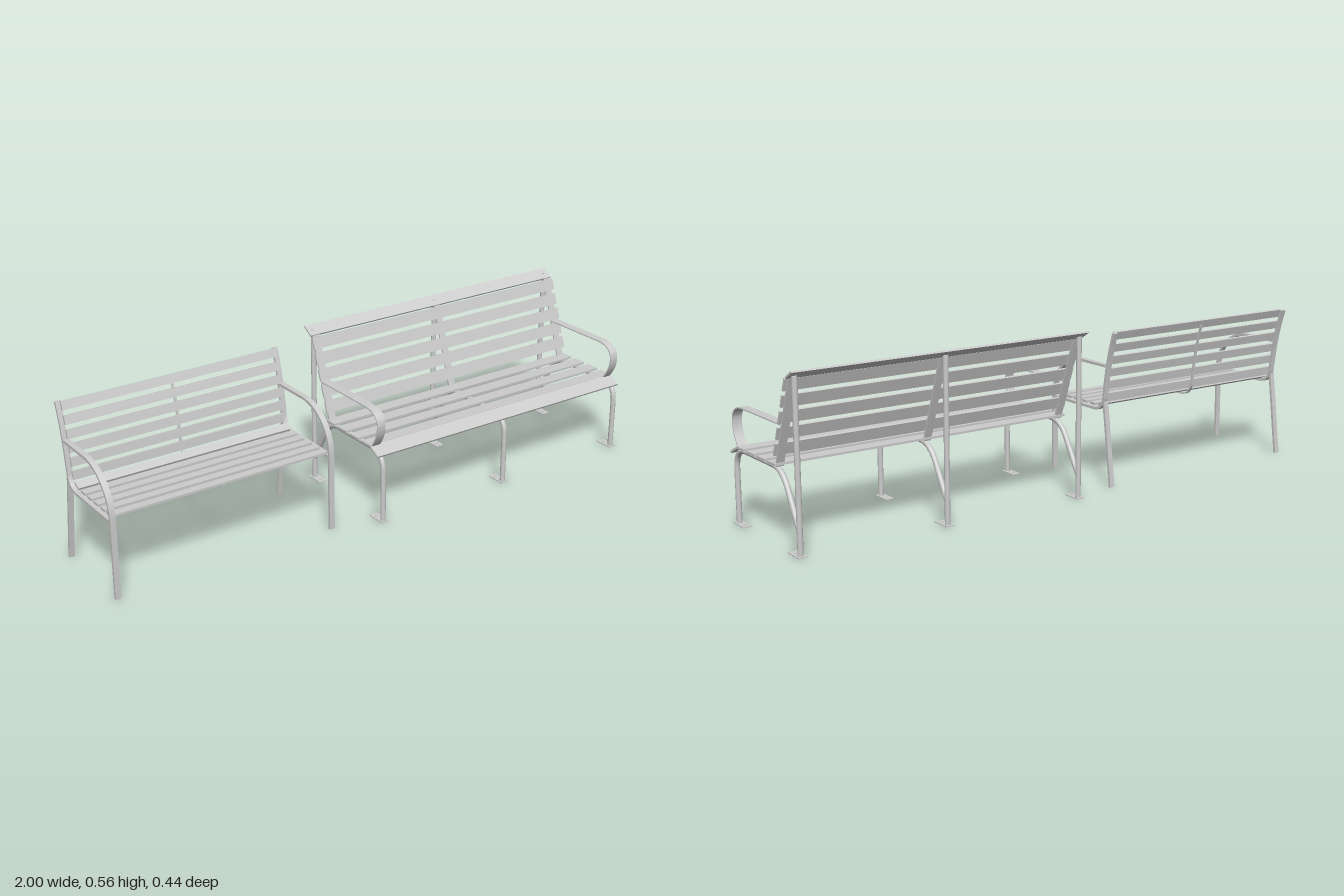
import * as THREE from 'three';
import { toCreasedNormals } from 'three/addons/utils/BufferGeometryUtils.js';

const mat = new THREE.MeshStandardMaterial({ color: 0xcccccc });

function add(parent, name, geo, x = 0, y = 0, z = 0) {
  const m = new THREE.Mesh(geo, mat);
  m.name = name;
  m.position.set(x, y, z);
  parent.add(m);
  return m;
}

// Side-view path in (z, y): 2 numbers = line to, 6 numbers = bezier to
function sidePath(start, ...steps) {
  const p = new THREE.Path();
  p.moveTo(...start);
  for (const s of steps) s.length === 2 ? p.lineTo(...s) : p.bezierCurveTo(...s);
  return p.getPoints(14);
}

// Flat bar bent along a side-view path, with its width along x
function flatBar(parent, name, pts, thick, width, x) {
  const a = [], b = [];
  pts.forEach((p, i) => {
    const t = pts[Math.min(i + 1, pts.length - 1)].clone().sub(pts[Math.max(i - 1, 0)]).normalize();
    const n = new THREE.Vector2(-t.y, t.x).multiplyScalar(thick / 2);
    a.push(p.clone().add(n));
    b.unshift(p.clone().sub(n));
  });
  let g = new THREE.ExtrudeGeometry(new THREE.Shape([...a, ...b]), { depth: width, bevelEnabled: false });
  g.translate(0, 0, -width / 2);
  g.rotateY(-Math.PI / 2);
  g = toCreasedNormals(g, 0.6);
  return add(parent, name, g, x);
}

// Round tube bent along a side-view path
function roundTube(parent, name, pts, r, x) {
  const curve = new THREE.CatmullRomCurve3(pts.map(p => new THREE.Vector3(0, p.y, p.x)), false, 'centripetal');
  return add(parent, name, new THREE.TubeGeometry(curve, 70, r, 16), x);
}

// Long slat; tilt turns it about the x axis
function slat(parent, name, x, length, y, z, depth, thick, tilt = 0) {
  const m = add(parent, name, new THREE.BoxGeometry(length, thick, depth), x, y, z);
  m.rotation.x = tilt;
  return m;
}

// Smaller bench with flat-bar side frames
function armBench() {
  const g = new THREE.Group();
  g.name = 'smallBench';
  const cx = -0.603, len = 0.765;
  const seatAndBack = [[0.15, 0.259], [-0.07, 0.259],
    [-0.1, 0.259, -0.115, 0.27, -0.124, 0.295],
    [-0.13, 0.34, -0.138, 0.43, -0.174, 0.53]];

  for (const x of [-0.99, -0.215]) {
    flatBar(g, 'frontLegAndArm', sidePath([0.1535, 0], [0.1535, 0.265],
      [0.1535, 0.35, 0.085, 0.413, 0, 0.413], [-0.135, 0.413]), 0.009, 0.019, x);
    flatBar(g, 'seatAndBackBar', sidePath(...seatAndBack), 0.009, 0.018, x);
    flatBar(g, 'rearLeg', sidePath([-0.165, 0], [-0.126, 0.29]), 0.009, 0.018, x);
  }
  // Thin centre strip under the seat and behind the back
  flatBar(g, 'centreStrip', sidePath([0.14, 0.262], ...seatAndBack.slice(1, 3),
    [-0.13, 0.34, -0.138, 0.43, -0.166, 0.512]), 0.005, 0.009, cx);

  for (let i = 0; i < 5; i++) slat(g, 'seatSlat', cx, len, 0.2685, 0.125 - i * 0.0437, 0.029, 0.008);
  slat(g, 'seatSlat', cx, len, 0.275, -0.092, 0.029, 0.008, 0.42);

  // Back slats follow the curved back bars
  for (let i = 0; i < 6; i++) {
    const t = i / 5;
    const z = -0.117 - 0.014 * t - 0.027 * t * t;
    slat(g, 'backSlat', cx, len, 0.301 + 0.217 * t, z, 0.029, 0.008, Math.PI / 2 - 0.1 - 0.26 * t);
  }
  return g;
}

// Larger bench with three round-tube frames
function tubeBench() {
  const g = new THREE.Group();
  g.name = 'largeBench';
  const cx = 0.466, len = 1.065, lean = Math.atan(0.35);
  const frames = [-0.046, cx, 0.977];
  const bolt = new THREE.CylinderGeometry(0.005, 0.005, 0.003, 10);

  for (const x of frames) {
    roundTube(g, 'frameTube', sidePath([0.206, 0], [0.206, 0.18],
      [0.206, 0.222, 0.18, 0.245, 0.145, 0.245], [-0.045, 0.245],
      [-0.085, 0.245, -0.112, 0.225, -0.132, 0.19], [-0.196, 0.078]), 0.009, x);
    add(g, 'rearPost', new THREE.CylinderGeometry(0.009, 0.009, 0.54, 16), x, 0.27, -0.197);
    flatBar(g, 'backBar', sidePath([-0.084, 0.25], [-0.183, 0.533]), 0.006, 0.026, x);
    for (const [z, bz] of [[0.185, 0.168], [-0.179, -0.165]]) {
      add(g, 'footPlate', new THREE.BoxGeometry(0.03, 0.003, 0.068), x, 0.0015, z);
      add(g, 'footBolt', bolt, x, 0.0035, bz);
    }
    // Bolt heads on the cap
    const cap = add(g, 'capBolt', bolt, x, 0.549, -0.2);
    cap.rotation.x = 0.56;
  }

  // Seat, with a sloping front slat
  slat(g, 'frontSlat', cx, len, 0.246, 0.18, 0.051, 0.007, 0.48);
  for (let i = 0; i < 4; i++) slat(g, 'seatSlat', cx, len, 0.258, 0.136 - i * 0.0687, 0.048, 0.007);

  // Back, with a sloping cap on the posts
  for (let i = 0; i < 5; i++) {
    const y = 0.305 + i * 0.0515;
    slat(g, 'backSlat', cx, len, y, -0.096 - 0.35 * (y - 0.305), 0.04, 0.007, Math.PI / 2 - lean);
  }
  slat(g, 'topCap', cx, len, 0.545, -0.201, 0.045, 0.006, 0.56);

  // Thin strap arms at both ends
  for (const x of [frames[0], frames[2]]) {
    flatBar(g, 'armStrap', sidePath([0.16, 0.255],
      [0.182, 0.285, 0.193, 0.305, 0.193, 0.335],
      [0.193, 0.37, 0.165, 0.385, 0.12, 0.385], [-0.131, 0.385]), 0.004, 0.032, x);
  }
  return g;
}

export function createModel() {
  const model = new THREE.Group();
  model.name = 'parkBenches';
  model.add(armBench(), tubeBench());
  return model;
}
